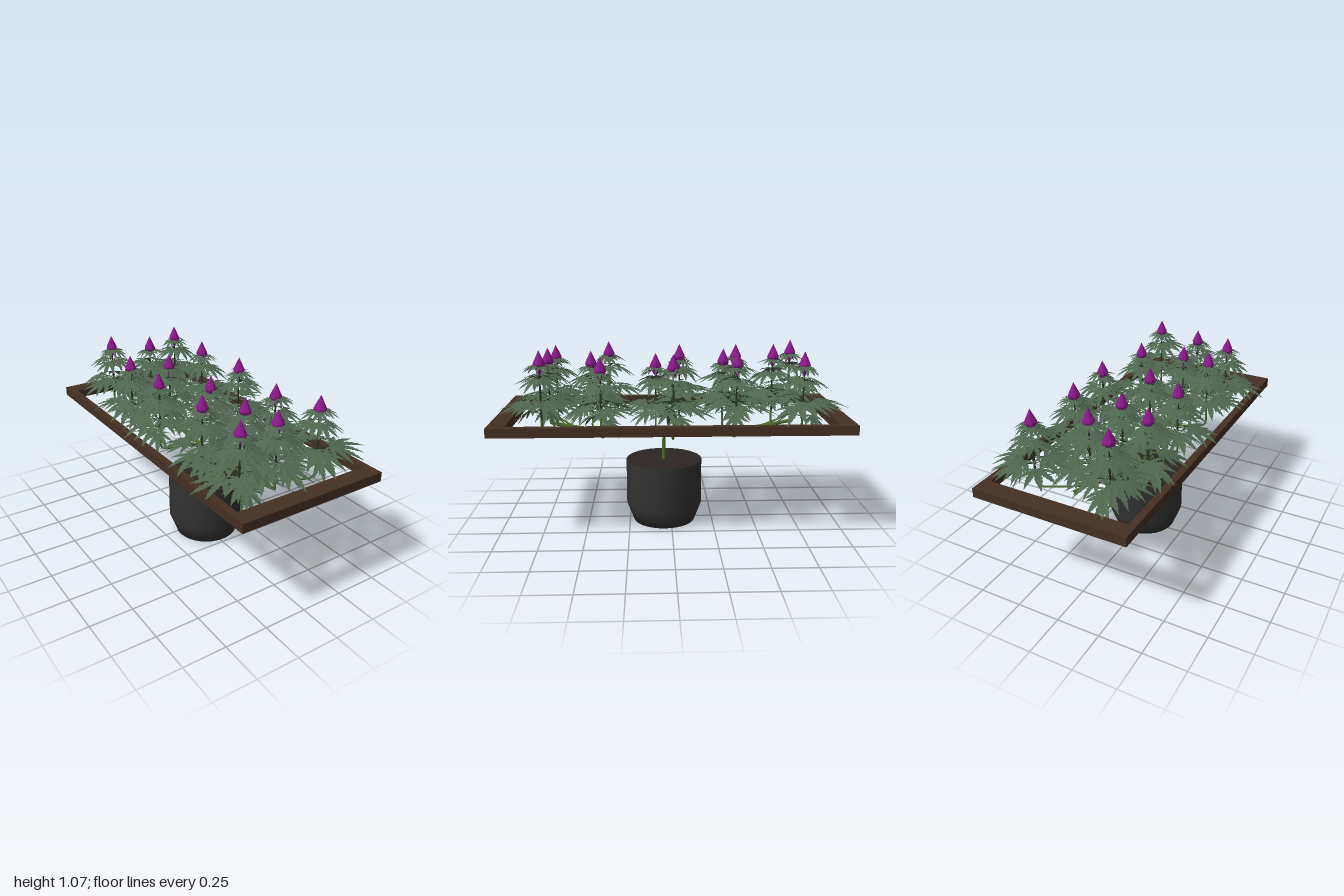
import * as THREE from 'three';
import { mergeGeometries } from 'three/addons/utils/BufferGeometryUtils.js';

const paint = (color, opts = {}) => new THREE.MeshStandardMaterial({ color, ...opts });
const wood = paint(0x443024);
const potGrey = paint(0x333333);
const soilBrown = paint(0x2b2622);
const bark = paint(0x4c6a28);
const stemGreen = paint(0x2a3624);
const leafGreen = paint(0x4f6650, { side: THREE.DoubleSide });
const budPurple = paint(0x8a1a8a, { flatShading: true });

const POT = { x: 0.018, z: 0.042 };

// Plant tops: x, z, height of the bud tip
const PLANTS = [
  [-0.19, -0.74, 1.07], [0.27, -0.73, 1.06], [0.01, -0.6, 1.07],
  [-0.23, -0.41, 1.04], [0.25, -0.36, 1.06], [-0.02, -0.31, 1.04],
  [-0.235, -0.06, 1.04], [0.28, -0.005, 1.05], [0.015, 0.09, 1.02],
  [-0.23, 0.375, 1.06], [0.235, 0.4, 1.03], [-0.025, 0.47, 1.03],
  [-0.225, 0.7, 1.04], [-0.01, 0.72, 1.05], [0.255, 0.73, 1.07],
];

// Leaf tiers: drop below the tip, leaf count, petiole length, leaf size, droop
const TIERS = [
  [0.36, 2, 0.06, 0.14, 0.55],
  [0.325, 4, 0.075, 0.185, 0.08],
  [0.29, 4, 0.065, 0.175, 0.2],
  [0.165, 5, 0.035, 0.14, 0.28],
  [0.095, 5, 0.02, 0.09, 0.35],
];

let seed = 7;
function rand(a, b) {
  seed = (seed * 16807) % 2147483647;
  return a + (b - a) * seed / 2147483647;
}

function add(parent, name, geometry, material, x = 0, y = 0, z = 0) {
  const mesh = new THREE.Mesh(geometry, material);
  mesh.name = name;
  mesh.position.set(x, y, z);
  parent.add(mesh);
  return mesh;
}

const lathe = (profile, sides) =>
  new THREE.LatheGeometry(profile.map(p => new THREE.Vector2(...p)), sides);

function tube(points, radius, segments = 16, sides = 6) {
  const curve = new THREE.CatmullRomCurve3(points.map(p => new THREE.Vector3(...p)));
  return new THREE.TubeGeometry(curve, segments, radius, sides);
}

// Serrated leaflets fanned from one point, unit length along +z
function makeLeaf() {
  const pos = [], index = [], STEPS = 14;
  const fan = [[0, 1], [0.5, 0.9], [-0.5, 0.9], [1.05, 0.7], [-1.05, 0.7], [1.75, 0.42], [-1.75, 0.42]];
  for (const [angle, length] of fan) {
    const start = pos.length / 3;
    for (let i = 0; i <= STEPS; i++) {
      const t = i / STEPS;
      const tooth = i % 2 ? 1 : 0.72;
      const half = 0.115 * length * Math.sin(Math.PI * Math.pow(t, 0.9)) * tooth + 0.004 * (1 - t);
      const r = t * length;
      for (const side of [-1, 0, 1]) {
        const across = side * half;
        const along = r + (side ? half * 0.25 * (1 - t) : 0);
        pos.push(
          Math.sin(angle) * along + Math.cos(angle) * across,
          -0.16 * r * r + Math.abs(across) * 0.2,
          Math.cos(angle) * along - Math.sin(angle) * across,
        );
      }
      if (i === STEPS) continue;
      for (let k = 0; k < 2; k++) {
        const a = start + i * 3 + k;
        index.push(a, a + 3, a + 1, a + 1, a + 3, a + 4);
      }
    }
  }
  const g = new THREE.BufferGeometry();
  g.setAttribute('position', new THREE.Float32BufferAttribute(pos, 3));
  g.setIndex(index);
  g.computeVertexNormals();
  return g;
}

// Height of the main stems along z
function stemHeight(z) {
  const d = Math.max(0, Math.abs(z - POT.z) - 0.25);
  return 0.543 + 0.08 * d + 0.14 * d * d;
}

function makeFrame() {
  const frame = new THREE.Group();
  frame.name = 'frame';
  const y = 0.659, h = 0.053;
  for (const s of [-1, 1]) {
    add(frame, 'endBoard', new THREE.BoxGeometry(0.887, h, 0.097), wood, 0.022, y, s * 0.9515);
    add(frame, 'sideBoard', new THREE.BoxGeometry(0.041, h, 1.806), wood, 0.022 + s * 0.423, y, 0);
  }
  return frame;
}

function makePot() {
  const pot = new THREE.Group();
  pot.name = 'pot';
  pot.position.set(POT.x, 0, POT.z);
  add(pot, 'potBody', lathe([[0, 0], [0.185, 0], [0.227, 0.11], [0.227, 0.38]], 32), potGrey);
  const soil = add(pot, 'soil', new THREE.CircleGeometry(0.227, 32), soilBrown, 0, 0.38, 0);
  soil.rotation.x = -Math.PI / 2;
  return pot;
}

function makeBranches() {
  const group = new THREE.Group();
  group.name = 'branches';
  add(group, 'trunk', new THREE.CylinderGeometry(0.01, 0.011, 0.165, 8), bark, 0.022, 0.4625, POT.z);

  // Two main stems trained along the length
  for (const end of [-0.72, 0.72]) {
    const points = [];
    for (let i = 0; i <= 6; i++) {
      const z = POT.z + (end - POT.z) * i / 6;
      points.push([0.02 - 0.03 * (i / 6) * Math.sign(end), stemHeight(z), z]);
    }
    add(group, 'mainStem', tube(points, 0.01, 24, 7), bark);
  }

  // Side shoots that run outward and turn up under each plant
  for (const [x, z] of PLANTS) {
    const from = z + (POT.z - z) * 0.22;
    const y0 = stemHeight(from);
    const dx = x - 0.015;
    add(group, 'sideShoot', tube([
      [0.015, y0, from],
      [0.015 + dx * 0.5, y0 + 0.01, from + (z - from) * 0.6],
      [0.015 + dx * 0.93, y0 + 0.025, z],
      [x, y0 + 0.05, z],
      [x, 0.68, z],
    ], 0.006, 20), bark);
  }
  return group;
}

function makePlant(leaf, [x, z, tip]) {
  const plant = new THREE.Group();
  plant.name = 'plant';
  plant.position.set(x, 0, z);

  const leaves = [], stems = [];
  const stem = new THREE.CylinderGeometry(0.004, 0.006, tip - 0.75, 6);
  stems.push(stem.translate(0, (tip + 0.61) / 2, 0));

  for (const [drop, count, petiole, size, droop] of TIERS) {
    const turn = rand(0, Math.PI * 2);
    for (let i = 0; i < count; i++) {
      const yaw = turn + (i + rand(-0.15, 0.15)) * Math.PI * 2 / count;
      const y = tip - drop + rand(-0.012, 0.012);
      const rise = petiole * 0.35;
      const pitch = droop + rand(-0.15, 0.2);
      const scale = size * rand(0.88, 1.12);
      leaves.push(leaf.clone().scale(scale, scale, scale).rotateX(pitch)
        .translate(0, y + rise, petiole).rotateY(yaw));
      const stalk = new THREE.CylinderGeometry(0.002, 0.0025, Math.hypot(rise, petiole), 4);
      stems.push(stalk.rotateX(Math.atan2(petiole, rise))
        .translate(0, y + rise / 2, petiole / 2).rotateY(yaw));
    }
  }
  add(plant, 'leaves', mergeGeometries(leaves), leafGreen);
  add(plant, 'stems', mergeGeometries(stems), stemGreen);

  // Pointed flower bud
  const bud = lathe([[0, -0.14], [0.016, -0.115], [0.034, -0.08], [0.033, -0.07], [0, 0]], 8);
  add(plant, 'bud', bud, budPurple, 0, tip, 0);
  return plant;
}

export function createModel() {
  seed = 7;
  const model = new THREE.Group();
  model.name = 'trellisedPlant';
  model.add(makeFrame(), makePot(), makeBranches());
  const leaf = makeLeaf();
  for (const spec of PLANTS) model.add(makePlant(leaf, spec));
  return model;
}
